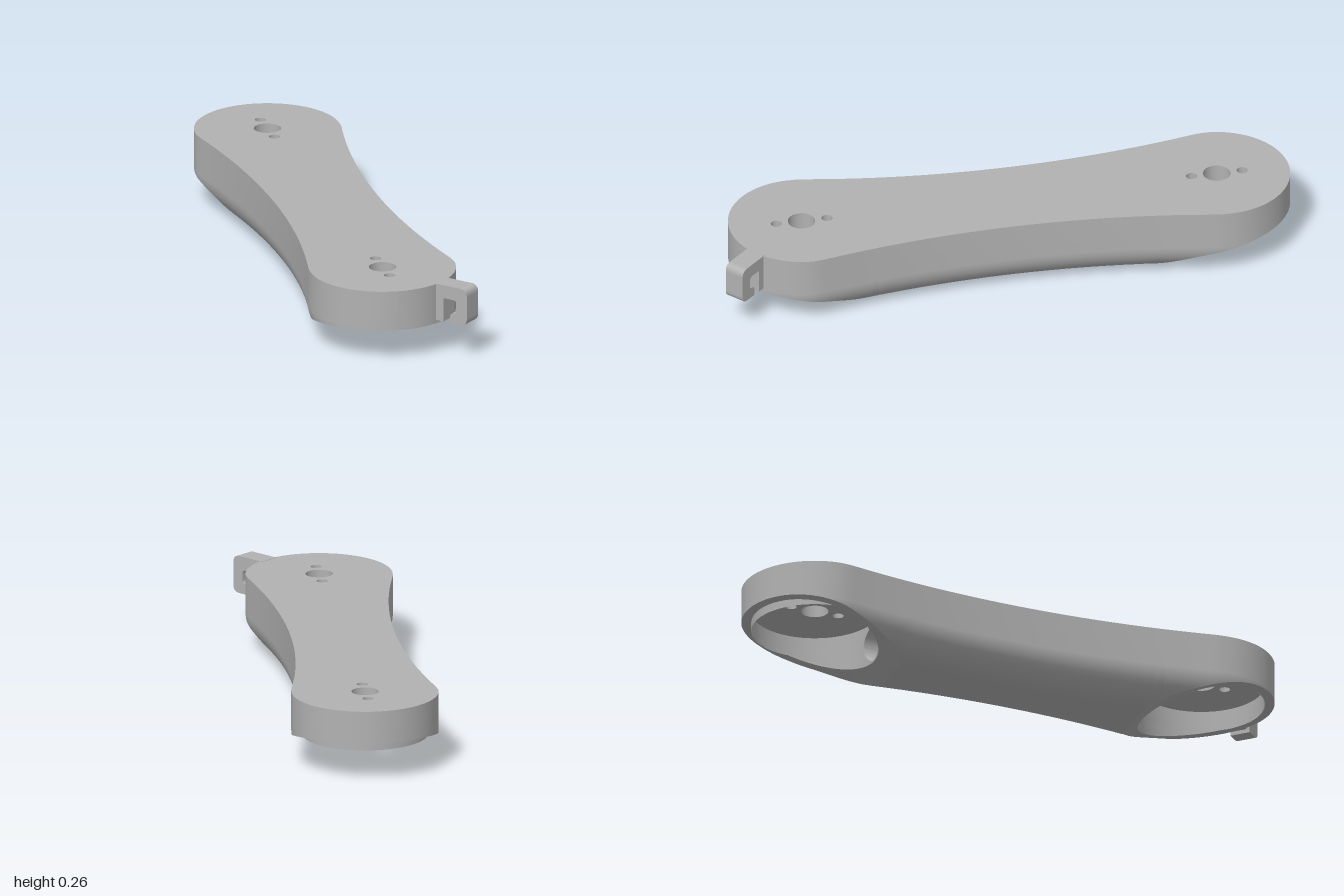
import * as THREE from 'three';

const TOP = 0.256, CEIL = 0.182;               // top face and pocket ceiling heights
const R = 0.252, POCKET = 0.218, HALF = 0.725; // end radius, pocket radius, half axle distance
const MID = -0.023, WAIST = 0.18;              // z of the arm's middle, half width there
const TUNNEL = 0.07, TUNNEL_Y = 0.108;
const ENDS = [
  { name: 'back', s: -1, x: -0.055, z: MID - HALF },
  { name: 'front', s: 1, x: 0.025, z: MID + HALF },
];
const clamp = THREE.MathUtils.clamp;

// Half width: concave arc tangent to the two end circles
const ARC = (HALF ** 2 + WAIST ** 2 - R ** 2) / (2 * (R - WAIST));
const TANGENT = HALF * (1 - R / (ARC + R));
function halfWidth(z) {
  const d = Math.abs(z - MID);
  if (d < TANGENT) return WAIST + ARC - Math.sqrt(ARC * ARC - d * d);
  return Math.sqrt(Math.max(0, R * R - (d - HALF) ** 2));
}
const axisX = (z, reach) => -0.015 + 0.04 * clamp((z - MID) / reach, -1, 1);

// Underside height: flat in the middle, curving up towards both ends
function bottom(z) {
  if (z > 0.45) return 0.114 * (1 - (Math.max(0, 0.954 - z) / 0.504) ** 2);
  if (z < -0.46) return 0.14 * (1 - (Math.max(0, 1 + z) / 0.54) ** 1.8);
  return 0;
}
function pocketHalf(z) {
  const d = Math.abs(z - MID) - HALF;
  return Math.sqrt(Math.max(0, POCKET * POCKET - d * d));
}

// Values through break points, bunched near each break
function spaced(breaks, counts) {
  const out = [breaks[0]];
  counts.forEach((n, k) => {
    for (let i = 1; i <= n; i++) {
      const t = (1 - Math.cos((Math.PI * i) / n)) / 2;
      out.push(breaks[k] + (breaks[k + 1] - breaks[k]) * t);
    }
  });
  return out;
}

// Smooth surface through rows of points
function loft(rows) {
  const n = rows[0].length, index = [];
  for (let i = 0; i < rows.length - 1; i++)
    for (let j = 0; j < n - 1; j++) {
      const a = i * n + j, b = a + n;
      index.push(a, b, a + 1, b, b + 1, a + 1);
    }
  const g = new THREE.BufferGeometry();
  g.setAttribute('position', new THREE.Float32BufferAttribute(rows.flat(2), 3));
  g.setIndex(index);
  g.computeVertexNormals();
  return g;
}

// One side of the cross-section: vertical wall, then a rounded lower corner
function sideRow(z, side) {
  const rx = 0.13, ry = 0.12, b = bottom(z), hw = halfWidth(z), c = axisX(z, HALF);
  const tMax = Math.asin(clamp(1 - b / ry, 0, 1));
  const row = [[c + side * hw, TOP, z]];
  for (let j = 0; j <= 10; j++) {
    const t = (tMax * j) / 10;
    const x = Math.max(0, hw - rx * (1 - Math.cos(t)));
    row.push([c + side * x, Math.max(b, ry * (1 - Math.sin(t))), z]);
  }
  return row;
}

// Bolt holes of one end: a large one between two small ones
const holesOf = (e) => [[0, 0, 0.047], [-0.005, -0.089, 0.019], [0.005, 0.088, 0.019]]
  .map(([dx, dz, r]) => ({ x: e.x + dx, z: e.z + dz, r }));

function flat(shape, holes, y) {
  for (const h of holes) shape.holes.push(new THREE.Path().absarc(h.x, -h.z, h.r, 0, Math.PI * 2, true));
  return new THREE.ShapeGeometry(shape, 32).rotateX(-Math.PI / 2).translate(0, y, 0);
}

export function createModel() {
  const grey = new THREE.MeshStandardMaterial({ color: 0xb2b2b2, side: THREE.DoubleSide });
  grey.name = 'light grey';
  const model = new THREE.Group();
  model.name = 'linkArm';
  const add = (name, geometry) => {
    const m = new THREE.Mesh(geometry, grey);
    m.name = name;
    model.add(m);
    return m;
  };

  const far = HALF + POCKET, near = HALF - POCKET, tip = HALF + R;
  const zs = spaced([-tip, -far, -near, -0.437, 0.473, near, far, tip].map((d) => d + MID),
    [10, 32, 3, 20, 3, 32, 10]);

  // Outer walls and the underside rim around the pockets
  for (const [side, label] of [[-1, 'right'], [1, 'left']]) {
    const rows = zs.map((z) => sideRow(z, side));
    add(label + 'Wall', loft(rows));
    add(label + 'Underside', loft(rows.map((row, i) => {
      const z = zs[i], c = axisX(z, near), edge = row[row.length - 1];
      return [edge, [c + side * Math.min(pocketHalf(z), halfWidth(z)), edge[1], z]];
    })));
  }

  // Flat top plate with the bolt holes
  const outline = [
    ...zs.map((z) => new THREE.Vector2(axisX(z, HALF) + halfWidth(z), -z)),
    ...zs.slice(1, -1).reverse().map((z) => new THREE.Vector2(axisX(z, HALF) - halfWidth(z), -z)),
  ];
  add('topPlate', flat(new THREE.Shape(outline), ENDS.flatMap(holesOf), TOP));

  // Pockets, open below, each with a tunnel mouth facing the other
  const mouth = Math.asin(TUNNEL / POCKET);
  const angles = spaced([-Math.PI, -mouth, mouth, Math.PI], [48, 24, 48]);
  for (const e of ENDS) {
    const lower = [], upper = [];
    for (const a of angles) {
      const dx = POCKET * Math.sin(a);
      const x = e.x + dx, z = e.z - e.s * POCKET * Math.cos(a);
      const h = Math.abs(a) < mouth ? Math.sqrt(Math.max(0, TUNNEL ** 2 - dx * dx)) : 0;
      lower.push([[x, bottom(z), z], [x, TUNNEL_Y - h, z]]);
      upper.push([[x, TUNNEL_Y + h, z], [x, CEIL, z]]);
    }
    add(e.name + 'PocketLowerWall', loft(lower));
    add(e.name + 'PocketUpperWall', loft(upper));
    const disc = new THREE.Shape().absarc(e.x, -e.z, POCKET, 0, Math.PI * 2, false);
    add(e.name + 'PocketCeiling', flat(disc, holesOf(e), CEIL));
    for (const h of holesOf(e)) {
      const bore = new THREE.CylinderGeometry(h.r, h.r, TOP - CEIL, 32, 1, true);
      add(e.name + 'BoltHole', bore).position.set(h.x, (TOP + CEIL) / 2, h.z);
    }
  }

  // Cable tunnel between the pockets
  const rings = ENDS.map((e) => Array.from({ length: 49 }, (_, i) => {
    const t = (i / 48) * Math.PI * 2, dx = TUNNEL * Math.cos(t);
    return [e.x + dx, TUNNEL_Y + TUNNEL * Math.sin(t), e.z - e.s * Math.sqrt(POCKET ** 2 - dx * dx)];
  }));
  add('cableTunnel', loft(rings));

  // Cable hook on the front end, pointing out diagonally
  const hook = new THREE.Shape();
  hook.moveTo(0.24, 0.125);
  hook.lineTo(0.277, 0.125);
  hook.lineTo(0.277, 0.21);
  hook.lineTo(0.315, 0.21);
  hook.quadraticCurveTo(0.33, 0.21, 0.33, 0.195);
  hook.lineTo(0.33, 0.175);
  hook.quadraticCurveTo(0.33, 0.163, 0.318, 0.163);
  hook.quadraticCurveTo(0.304, 0.16, 0.304, 0.148);
  hook.lineTo(0.304, 0.125);
  hook.lineTo(0.345, 0.125);
  hook.quadraticCurveTo(0.372, 0.125, 0.372, 0.152);
  hook.lineTo(0.372, 0.23);
  hook.quadraticCurveTo(0.372, 0.257, 0.345, 0.257);
  hook.lineTo(0.24, 0.257);
  hook.closePath();
  const hookGeo = new THREE.ExtrudeGeometry(hook, { depth: 0.072, bevelEnabled: false, curveSegments: 8 });
  const hookMesh = add('cableHook', hookGeo.translate(0, 0, -0.025));
  hookMesh.position.set(ENDS[1].x, 0, ENDS[1].z);
  hookMesh.rotation.y = -Math.PI / 4;

  return model;
}
